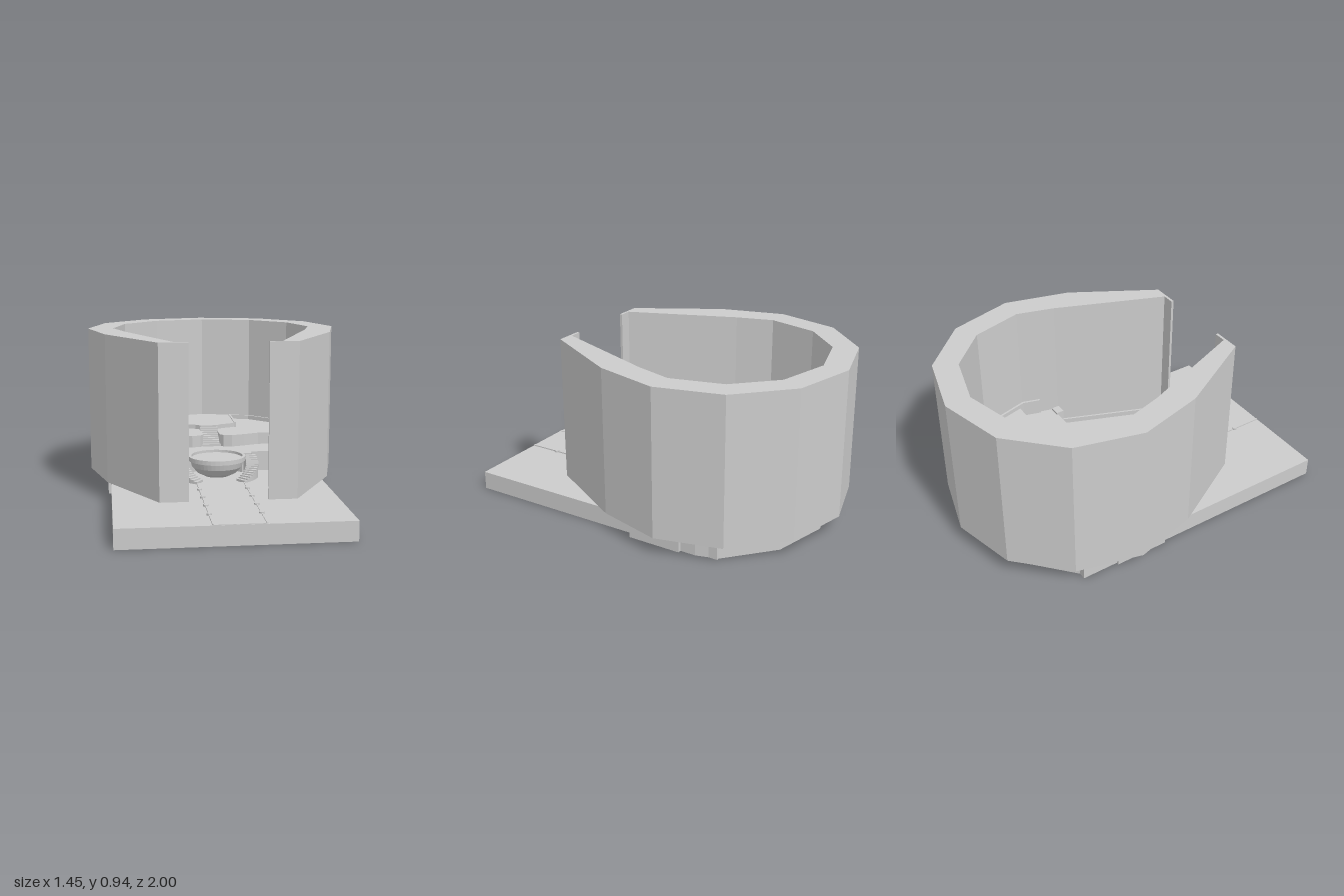
import * as THREE from 'three';

const grey = new THREE.MeshStandardMaterial({ color: 0xcccccc, side: THREE.DoubleSide });

// Prism from a plan outline of [x, z] points, between two heights
function prism(name, pts, y0, y1) {
  const shape = new THREE.Shape(pts.map(([x, z]) => new THREE.Vector2(x, -z)));
  const geo = new THREE.ExtrudeGeometry(shape, { depth: y1 - y0, bevelEnabled: false });
  geo.rotateX(-Math.PI / 2).translate(0, y0, 0);
  const mesh = new THREE.Mesh(geo, grey);
  mesh.name = name;
  return mesh;
}

function box(name, x0, x1, y0, y1, z0, z1) {
  const mesh = new THREE.Mesh(new THREE.BoxGeometry(x1 - x0, y1 - y0, z1 - z0), grey);
  mesh.position.set((x0 + x1) / 2, (y0 + y1) / 2, (z0 + z1) / 2);
  mesh.name = name;
  return mesh;
}

const flip = pts => pts.map(([x, z]) => [-x, z]);
// Full outline from its +x half, whose first point lies on the centre line
const mirrored = half => [...flip(half.slice(1)).reverse(), ...half];
// Closed band between two open lines
const band = (outer, inner) => [...outer, ...[...inner].reverse()];

export function createModel() {
  const model = new THREE.Group();
  model.name = 'openHall';
  const add = (...parts) => model.add(...parts);

  // Base slab, open rear skirt and the thin floor it carries
  add(box('baseSlab', -0.61, 0.585, 0, 0.105, -0.58, 1));
  const skirtOuter = [[0, -0.895], [0.32, -0.81], [0.57, -0.58]];
  const skirtInner = [[0, -0.85], [0.3, -0.77], [0.52, -0.58]];
  add(prism('rearSkirt', band(mirrored(skirtOuter), mirrored(skirtInner)), 0, 0.105));
  add(prism('rearFloor', mirrored(skirtInner), 0.095, 0.105));
  for (const s of [-1, 1]) {
    const ledge = [[0.58, -0.06], [0.625, -0.06], [0.625, -0.37], [0.605, -0.37], [0.605, -0.46], [0.57, -0.58]];
    add(prism('sideLedge', s > 0 ? ledge : flip(ledge), 0, 0.105));
  }

  // Tall faceted wall, tapering towards the front opening
  const wallOuter = [[0, -1], [0.365, -0.905], [0.63, -0.64], [0.725, -0.275], [0.63, 0.09], [0.365, 0.56]];
  const wallInner = [[0, -0.86], [0.3, -0.78], [0.505, -0.57], [0.58, -0.28], [0.52, -0.07], [0.28, 0.545], [0.21, 0.545], [0.21, 0.56]];
  add(prism('wall', band(mirrored(wallOuter), mirrored(wallInner)), 0.105, 0.94));

  // Raised platforms
  const lower = [[0, -0.32], [0.57, -0.32], [0.575, -0.28], [0.52, -0.07], [0.46, -0.07], [0.46, -0.1], [0.22, -0.1], [0.21, -0.06], [0.155, -0.06], [0.1, -0.13], [0, -0.16]];
  add(prism('lowerPlatform', [...lower, ...flip(lower.slice(1, -1)).reverse()], 0.105, 0.22));
  const upper = [[0.05, -0.46], [0.175, -0.52], [0.175, -0.81], [0.3, -0.775], [0.505, -0.57], [0.575, -0.31], [0.29, -0.31],
    [0.2, -0.275], [0.12, -0.25], [0.07, -0.26], [0.05, -0.29]];
  const aisle = [[0, -0.855], [0.175, -0.81], [0.175, -0.52], [0.14, -0.5], [0.08, -0.48], [0.05, -0.45]];
  add(prism('upperAisle', mirrored(aisle), 0.105, 0.315));
  for (const s of [-1, 1]) {
    add(prism('upperPlatform', s > 0 ? upper : flip(upper), 0.105, 0.29));
    add(box('platformPost', s * 0.49 - 0.03, s * 0.49 + 0.03, 0.105, 0.235, -0.11, -0.065));
    add(box('aisleRim', s * 0.175 - 0.006, s * 0.175 + 0.006, 0.29, 0.32, -0.8, -0.51));
  }

  // Straight flight from the aisle to the lower platform
  for (let i = 0; i < 9; i++) {
    const z = -0.45 + i * 0.02;
    add(box('aisleStep', -0.055, 0.055, 0.105, 0.305 - i * 0.009, z, z + 0.02));
  }

  // Round dais: a shallow bowl with a raised rim
  const profile = [[0, 0.105], [0.07, 0.108], [0.115, 0.13], [0.145, 0.165], [0.155, 0.2], [0.165, 0.2],
    [0.165, 0.225], [0.148, 0.225], [0.148, 0.21], [0, 0.21]].map(p => new THREE.Vector2(...p));
  const daisGeo = new THREE.LatheGeometry(profile, 40).toNonIndexed();
  daisGeo.computeVertexNormals();
  const dais = new THREE.Mesh(daisGeo, grey);
  dais.name = 'roundDais';
  add(dais);

  // Curved flights falling around both sides of the dais
  const steps = 13;
  for (const s of [-1, 1]) {
    for (let i = 0; i < steps; i++) {
      const ring = k => {
        const a = -0.27 + 1.25 * k / steps;
        return [0.17, 0.24].map(r => [s * r * Math.cos(a), r * Math.sin(a)]);
      };
      const [a, b] = [ring(i), ring(i + 1)];
      add(prism('curvedStep', [a[0], a[1], b[1], b[0]], 0.105, 0.212 - i * 0.0078));
    }
  }

  // Entrance path edged with low kerbs and studs
  add(box('path', -0.13, 0.13, 0.1, 0.108, 0.18, 0.998));
  for (const s of [-1, 1]) {
    add(box('pathKerb', s * 0.132 - 0.004, s * 0.132 + 0.004, 0.1, 0.112, 0.2, 0.998));
    for (let i = 0; i < 4; i++) {
      const stud = new THREE.Mesh(new THREE.CylinderGeometry(0.014, 0.014, 0.014, 10), grey);
      stud.position.set(s * 0.132, 0.109, 0.33 + i * 0.163);
      stud.name = 'pathStud';
      add(stud);
    }
  }

  // Low skirting boards along the inside of the wall
  for (const s of [-1, 1]) {
    const front = [[0.52, -0.07], [0.28, 0.545], [0.268, 0.545], [0.508, -0.07]];
    const rear = [[0.175, -0.815], [0.3, -0.78], [0.505, -0.57], [0.58, -0.28], [0.55, -0.18],
      [0.538, -0.18], [0.567, -0.28], [0.494, -0.563], [0.294, -0.767], [0.175, -0.802]];
    add(prism('frontSkirting', s > 0 ? front : flip(front), 0.105, 0.135));
    add(prism('rearSkirting', s > 0 ? rear : flip(rear), 0.2, 0.315));
  }
  return model;
}
